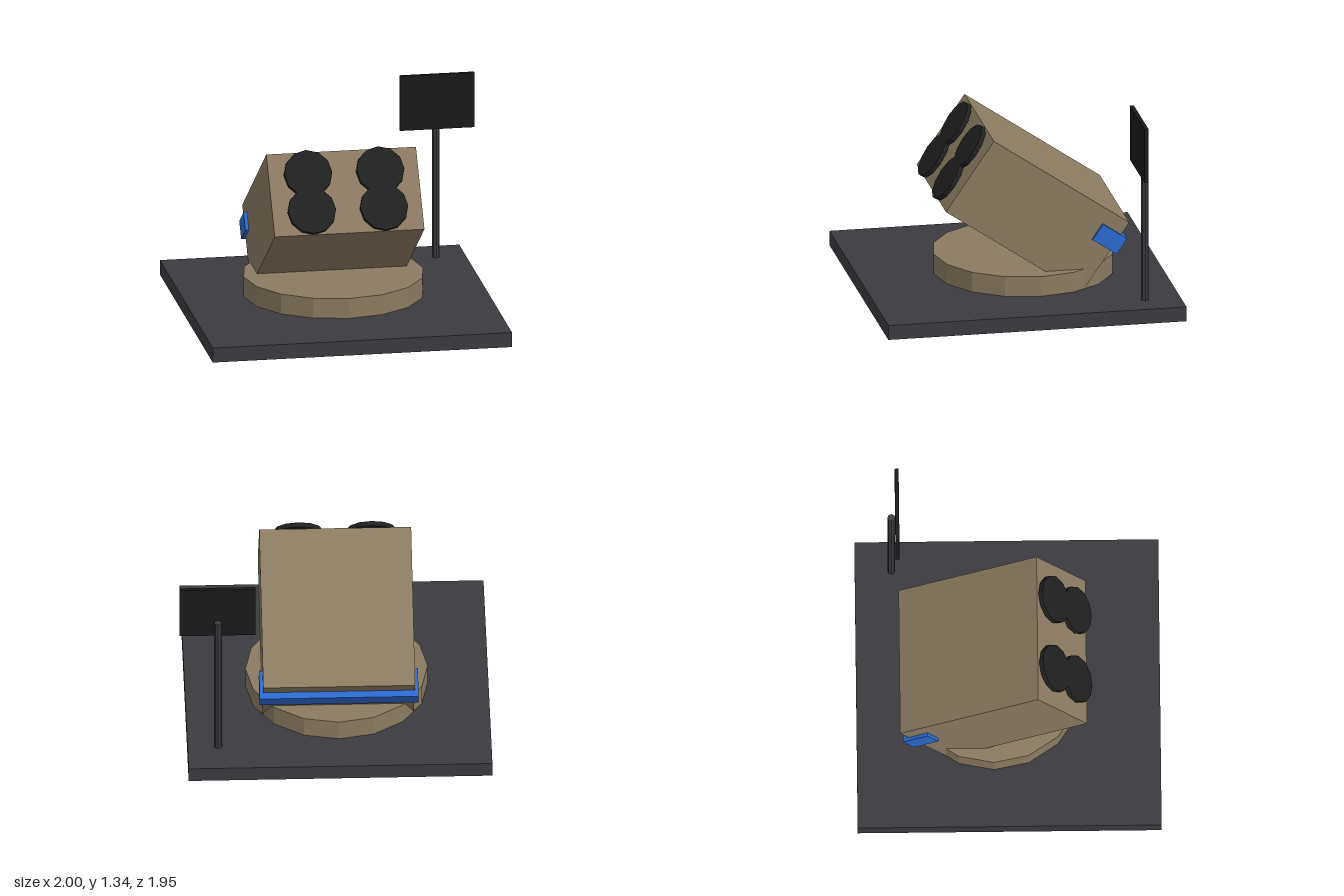
import * as THREE from 'three';

export function createModel() {
  const model = new THREE.Group();
  model.name = 'launcherModel';

  const mat = (name, color) => {
    const m = new THREE.MeshStandardMaterial({ color, flatShading: true });
    m.name = name;
    return m;
  };
  const tan = mat('tan', 0x8b7b62);
  const slate = mat('slateGrey', 0x3c3b40);
  const charcoal = mat('charcoal', 0x202020);
  const black = mat('black', 0x1a1a1a);
  const blue = mat('blue', 0x2b6ad0);

  const add = (parent, name, geometry, material, x, y, z) => {
    const mesh = new THREE.Mesh(geometry, material);
    mesh.name = name;
    mesh.position.set(x, y, z);
    parent.add(mesh);
    return mesh;
  };
  const box = (w, h, d) => new THREE.BoxGeometry(w, h, d);
  const cx = -0.025;

  // Ground slab and sixteen-sided turntable
  add(model, 'baseSlab', box(1.95, 0.097, 1.95), slate, cx, 0.0485, 0);
  add(model, 'turntable', new THREE.CylinderGeometry(0.585, 0.585, 0.133, 16), tan, cx, 0.1635, -0.0975);

  // Tilted housing, raised at the front
  const housing = new THREE.Group();
  housing.name = 'tiltedHousing';
  housing.position.set(cx, 0.6, -0.0975);
  housing.rotation.x = -0.6;
  model.add(housing);
  add(housing, 'housingBody', box(0.975, 0.555, 1.0725), tan, 0, 0, 0);
  add(housing, 'rearBand', box(1.02, 0.122, 0.19), blue, 0, 0.122, -0.484);

  // Four round caps just clear of the front face, in two overlapping pairs
  const cap = new THREE.CylinderGeometry(0.156, 0.156, 0.03, 12).rotateX(Math.PI / 2);
  for (const x of [-0.235, 0.235]) {
    for (const y of [-0.125, 0.125]) add(housing, 'frontCap', cap, charcoal, x, y, 0.5645);
  }

  // Sign on a post at the rear left corner
  add(model, 'signPost', new THREE.CylinderGeometry(0.025, 0.025, 0.993, 8), slate, 0.755, 0.5935, -0.74);
  add(model, 'signBoard', box(0.486, 0.366, 0.025), black, 0.757, 1.152, -0.703);

  return model;
}
